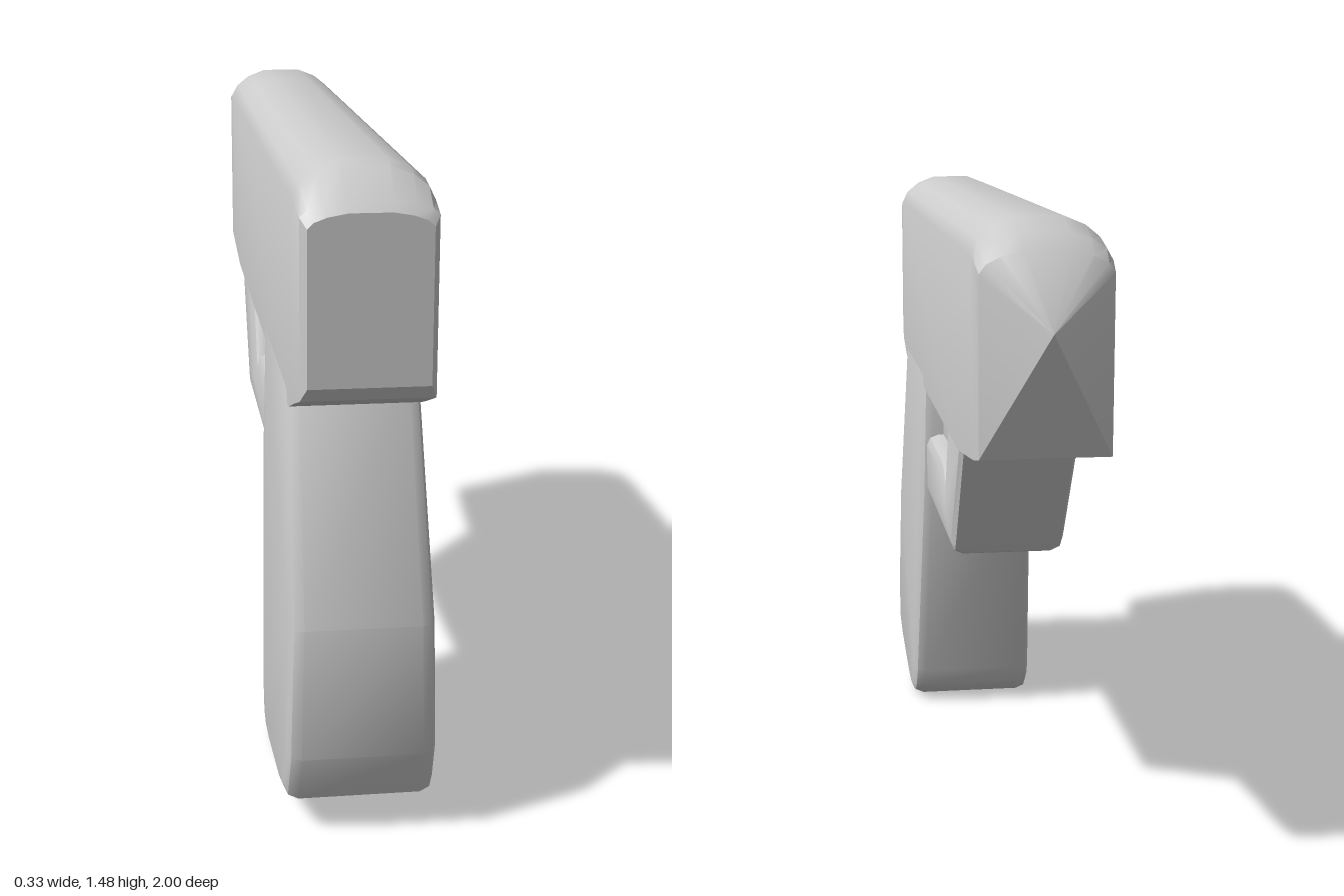
import * as THREE from 'three';
import { toCreasedNormals } from 'three/addons/utils/BufferGeometryUtils.js';

const material = new THREE.MeshStandardMaterial({ color: 0xcccccc });

function part(name, geometry) {
  const mesh = new THREE.Mesh(toCreasedNormals(geometry, 0.5), material);
  mesh.name = name;
  return mesh;
}

// Side profile of [z, y] points, extruded across x with bevelled edges
function slab(profile, halfWidth, bevel) {
  const shape = new THREE.Shape(profile.map(([z, y]) => new THREE.Vector2(z, y)));
  const depth = 2 * (halfWidth - bevel);
  const geometry = new THREE.ExtrudeGeometry(shape, {
    depth, bevelEnabled: true, bevelThickness: bevel, bevelSize: bevel, bevelOffset: -bevel, bevelSegments: 2,
  });
  return geometry.translate(0, 0, -depth / 2).rotateY(-Math.PI / 2);
}

// Slide cross-section: flat bottom and sides, domed top
function slideRing([z, bottom, shoulder, top, w]) {
  const rise = top - shoulder;
  const half = [
    [w, bottom], [w, shoulder], [0.9 * w, shoulder + 0.42 * rise],
    [0.68 * w, shoulder + 0.76 * rise], [0.35 * w, top],
  ];
  const mirrored = half.map(([x, y]) => [-x, y]).reverse();
  return [...half, ...mirrored].map(([x, y]) => [x, y, z]);
}

// Skin over the rings, closed by a fan to a point at each end
function loft(rings, firstPoint, lastPoint) {
  const n = rings[0].length;
  const index = [];
  const first = rings.length * n;
  const base = first - n;
  for (let j = 0; j < n; j++) {
    const k = (j + 1) % n;
    for (let i = 0; i < rings.length - 1; i++) {
      const a = i * n + j, b = i * n + k;
      index.push(a, a + n, b, b, a + n, b + n);
    }
    index.push(first, j, k, first + 1, base + k, base + j);
  }
  const geometry = new THREE.BufferGeometry();
  const points = [...rings.flat(), firstPoint, lastPoint];
  geometry.setAttribute('position', new THREE.Float32BufferAttribute(points.flat(), 3));
  geometry.setIndex(index);
  return geometry;
}

export function createModel() {
  const group = new THREE.Group();
  group.name = 'pistol';

  // Slide, with a pointed end: z, bottom, shoulder, top, half width
  const rings = [
    [1.0, 1.04, 1.36, 1.39, 0.125],
    [0.98, 1.01, 1.38, 1.41, 0.138],
    [0.91, 0.985, 1.395, 1.465, 0.142],
    [0.87, 0.97, 1.4, 1.475, 0.142],
    [0.8, 0.945, 1.4, 1.475, 0.142],
    [-0.58, 0.945, 1.4, 1.475, 0.142],
    [-0.8, 0.975, 1.4, 1.475, 0.142],
    [-0.87, 0.985, 1.39, 1.45, 0.142],
    [-0.915, 0.995, 1.37, 1.415, 0.138],
  ].map(slideRing);
  group.add(part('slide', loft(rings, [0, 1.22, 1.0], [0, 1.26, -1.0])));

  // Grip, widening towards its foot
  const grip = slab([
    [0.78, 1.0], [0.955, 0.5], [0.955, 0.2], [0.905, 0.08], [0.8, 0.045], [0.55, 0.005],
    [0.46, 0.0], [0.41, 0.015], [0.375, 0.05], [0.355, 0.1], [0.24, 0.65], [0.24, 1.0],
  ], 0.168, 0.032);
  const position = grip.attributes.position;
  for (let i = 0; i < position.count; i++) {
    position.setX(i, position.getX(i) * (1 - 0.15 * position.getY(i)));
  }
  group.add(part('grip', grip));

  // Trigger guard
  group.add(part('triggerGuard', slab([
    [0.3, 0.64], [0.3, 0.815], [-0.09, 0.815], [-0.19, 0.76], [-0.3, 1.0],
    [-0.6, 1.0], [-0.39, 0.675], [-0.37, 0.65], [-0.34, 0.64],
  ], 0.135, 0.03)));

  // Trigger, set in from the sides
  group.add(part('trigger', slab([
    [0.3, 0.77], [0.3, 1.0], [-0.065, 1.0], [-0.075, 0.9], [-0.095, 0.8], [-0.095, 0.77],
  ], 0.09, 0.015)));

  return group;
}
